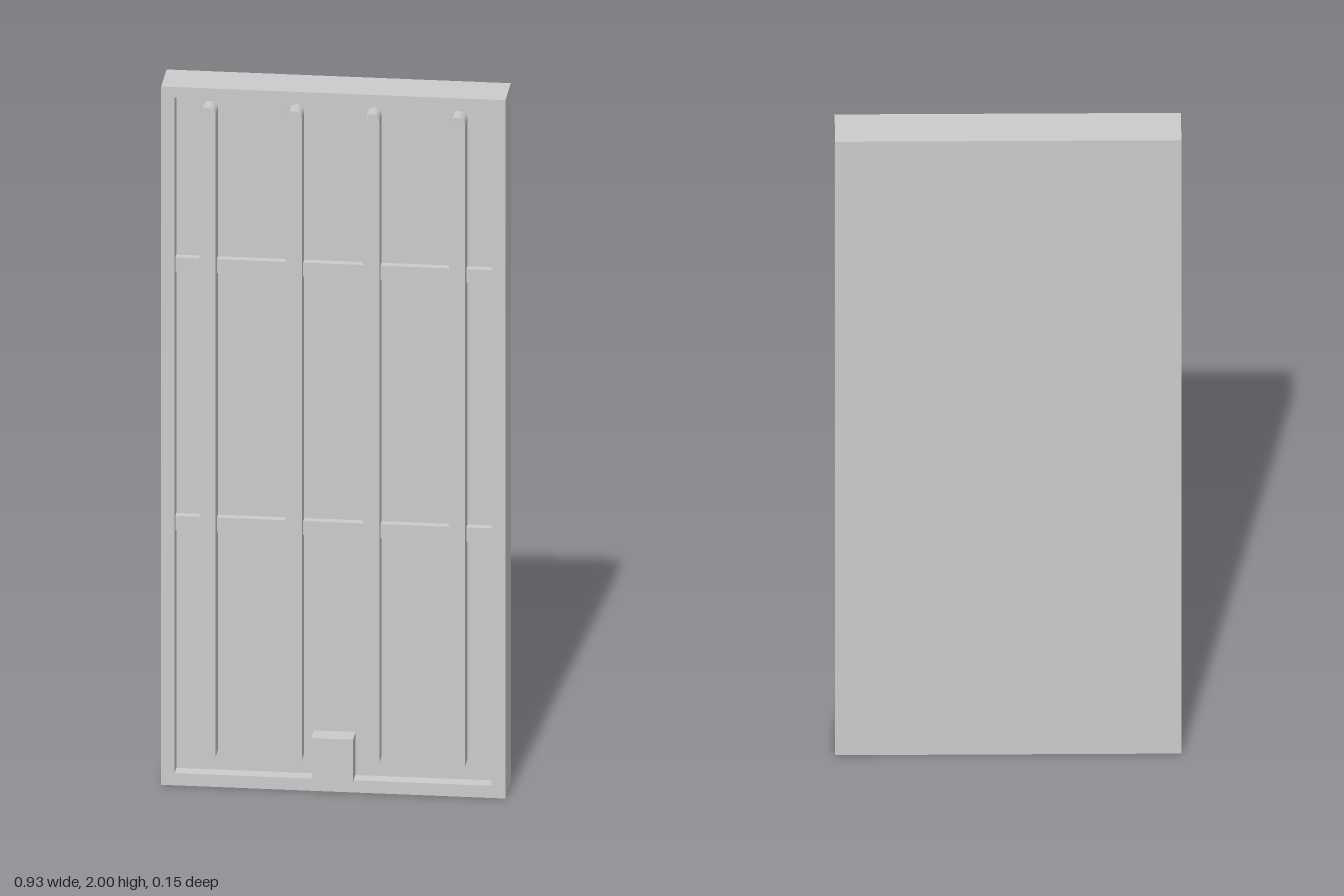
import * as THREE from 'three';

const W = 0.463, BACK = -0.073, FRONT = 0.055, FLOOR = 0.015;

export function createModel() {
  const model = new THREE.Group();
  const material = new THREE.MeshStandardMaterial({ color: 0xcccccc });

  const add = (name, geometry) => {
    const mesh = new THREE.Mesh(geometry, material);
    mesh.name = name;
    model.add(mesh);
    return mesh;
  };
  // Box given by its limits on each axis
  const box = (name, x0, x1, y0, y1, z0, z1) =>
    add(name, new THREE.BoxGeometry(x1 - x0, y1 - y0, z1 - z0))
      .position.set((x0 + x1) / 2, (y0 + y1) / 2, (z0 + z1) / 2);
  const rect = (path, x0, x1, y0, y1) => {
    path.moveTo(x0, y0).lineTo(x1, y0).lineTo(x1, y1).lineTo(x0, y1).closePath();
    return path;
  };

  // Solid back panel
  box('backPanel', -W, W, 0, 2, BACK, FLOOR);

  // Raised rim around the recess
  const rim = rect(new THREE.Shape(), -W, W, 0, 2);
  rim.holes.push(rect(new THREE.Path(), -0.427, 0.425, 0.035, 1.97));
  add('rim', new THREE.ExtrudeGeometry(rim, { depth: FRONT - FLOOR, bevelEnabled: false }))
    .position.z = FLOOR;

  // Cross rails, set back inside the recess
  for (const y of [0.745, 1.485]) box('crossRail', -0.427, 0.425, y - 0.02, y + 0.02, FLOOR, 0.037);

  // Upright bars with rounded ends
  const r = 0.022, y0 = 0.073 + r, y1 = 1.949 - r;
  const bar = new THREE.Shape();
  bar.absarc(0, y1, r, 0, Math.PI, false);
  bar.absarc(0, y0, r, Math.PI, Math.PI * 2, false);
  bar.closePath();
  const barGeometry = new THREE.ExtrudeGeometry(bar, {
    depth: 0.067 - FLOOR, bevelEnabled: false, curveSegments: 16,
  });
  for (const x of [-0.337, -0.105, 0.103, 0.334]) {
    add('uprightBar', barGeometry).position.set(x, 0, FLOOR);
  }

  // Lock block at the bottom centre
  box('lockBlock', -0.057, 0.055, 0.037, 0.158, FLOOR, 0.073);

  return model;
}
